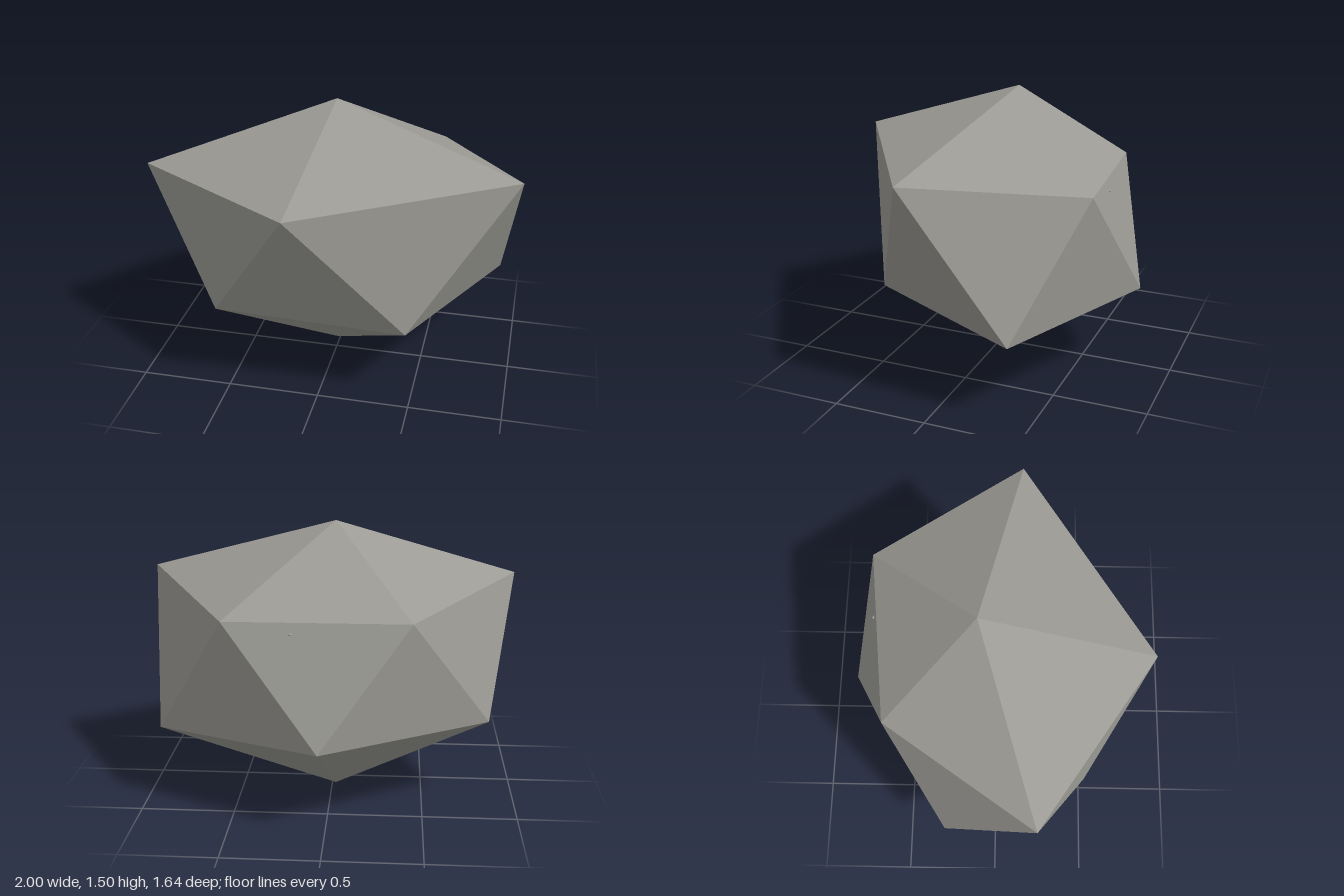
import * as THREE from 'three';

// Closed faceted solid: top point, upper ring, lower ring, bottom point.
// Rings run counter-clockwise seen from above, the lower one half a step ahead.
function facetedRock(top, upper, lower, bottom) {
  const positions = [];
  const face = (...corners) => corners.forEach((c) => positions.push(...c));
  const n = upper.length;
  for (let i = 0; i < n; i++) {
    const j = (i + 1) % n;
    face(top, upper[i], upper[j]);
    face(upper[i], lower[i], upper[j]);
    face(lower[i], lower[j], upper[j]);
    face(bottom, lower[j], lower[i]);
  }
  const geometry = new THREE.BufferGeometry();
  geometry.setAttribute('position', new THREE.Float32BufferAttribute(positions, 3));
  geometry.computeVertexNormals();
  return geometry;
}

export function createModel() {
  const group = new THREE.Group();
  group.name = 'rock';

  const stone = new THREE.MeshStandardMaterial({ color: 0x9b9a94, flatShading: true });
  stone.name = 'grey stone';

  // Main boulder
  const upper = [
    [-0.09, 1.205, 0.82], [1, 1.205, 0.125], [0.51, 1.105, -0.685],
    [-0.43, 1.08, -0.59], [-1, 1.17, 0.21],
  ];
  const lower = [
    [0.47, 0.45, 0.49], [0.9, 0.435, -0.4], [0.03, 0.47, -0.82],
    [-0.85, 0.46, -0.28], [-0.56, 0.48, 0.495],
  ];
  const boulder = new THREE.Mesh(
    facetedRock([-0.02, 1.505, -0.1], upper, lower, [-0.02, 0, -0.1]), stone);
  boulder.name = 'boulder';
  group.add(boulder);

  // Tiny chip of stone on the back face
  const chip = new THREE.Mesh(new THREE.IcosahedronGeometry(0.013, 0), stone);
  chip.name = 'chip';
  chip.scale.set(1, 0.6, 0.8);
  chip.position.set(0.17, 1.04, -0.668);
  group.add(chip);

  return group;
}
